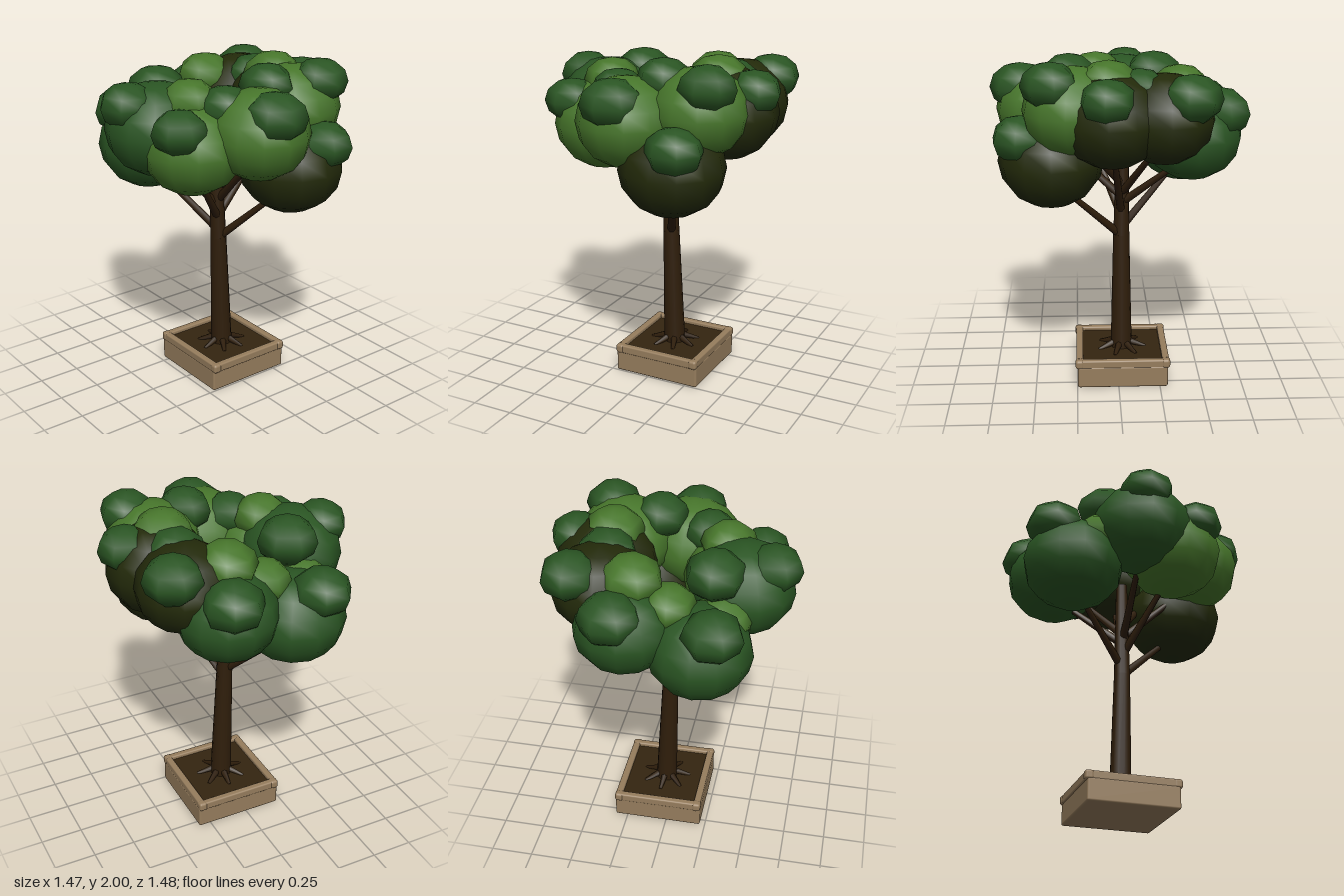
import * as THREE from 'three';
import { RoundedBoxGeometry } from 'three/addons/geometries/RoundedBoxGeometry.js';

const mat = (name, color) => {
  const m = new THREE.MeshStandardMaterial({ color });
  m.name = name;
  return m;
};

export function createModel() {
  const root = new THREE.Group();
  root.name = 'pottedTree';
  const leafDark = mat('deep green leaves', 0x2a5523);
  const leafLight = mat('light green leaves', 0x47762b);
  const leafOlive = mat('dark olive leaves', 0x232a0a);
  const bark = mat('bark', 0x2f1e0b);
  const soilMat = mat('soil', 0x342510);
  const stone = mat('planter stone', 0x967d5d);

  const group = (name) => {
    const g = new THREE.Group();
    g.name = name;
    root.add(g);
    return g;
  };
  const add = (parent, name, geo, material, x = 0, y = 0, z = 0) => {
    const m = new THREE.Mesh(geo, material);
    m.name = name;
    m.position.set(x, y, z);
    parent.add(m);
    return m;
  };
  // Tapered limb between two points
  const limb = (parent, name, a, b, r0, r1, sides) => {
    const from = new THREE.Vector3(...a), dir = new THREE.Vector3(...b).sub(from);
    const m = add(parent, name, new THREE.CylinderGeometry(r1, r0, dir.length(), sides), bark);
    m.position.copy(from).addScaledVector(dir, 0.5);
    m.quaternion.setFromUnitVectors(new THREE.Vector3(0, 1, 0), dir.normalize());
  };

  // Planter: body, rim rails, rounded corners and soil
  const planter = group('planter');
  planter.position.set(0.054, 0, -0.025);
  add(planter, 'planterBody', new RoundedBoxGeometry(0.545, 0.135, 0.545, 2, 0.012), stone, 0, 0.0675, 0);
  for (const s of [-1, 1]) {
    add(planter, 'rimSide', new RoundedBoxGeometry(0.042, 0.052, 0.5, 2, 0.01), stone, s * 0.25, 0.149, 0);
    add(planter, 'rimEnd', new RoundedBoxGeometry(0.5, 0.052, 0.042, 2, 0.01), stone, 0, 0.149, s * 0.26);
    for (const t of [-1, 1])
      add(planter, 'rimCorner', new RoundedBoxGeometry(0.052, 0.056, 0.052, 2, 0.016), stone, s * 0.248, 0.149, t * 0.26);
  }
  add(planter, 'soil', new THREE.BoxGeometry(0.48, 0.03, 0.49), soilMat, 0, 0.137, 0);

  // Trunk and root flares
  const wood = group('wood');
  limb(wood, 'trunk', [0.048, 0.13, -0.025], [0.022, 0.88, -0.025], 0.066, 0.049, 12);
  limb(wood, 'upperTrunk', [0.022, 0.87, -0.025], [0.005, 1.47, -0.035], 0.049, 0.035, 12);
  for (let i = 0; i < 7; i++) {
    const a = i / 7 * Math.PI * 2 + 0.3, c = Math.cos(a), s = Math.sin(a);
    limb(wood, 'root', [0.048 + c * 0.15, 0.148, -0.025 + s * 0.15], [0.048 + c * 0.04, 0.185, -0.025 + s * 0.04], 0.01, 0.022, 6);
  }

  // Main foliage masses: x, y, z, radius, material, height where the branch leaves the trunk
  const masses = [
    [-0.03, 1.65, 0.42, 0.29, leafLight, 1.12],
    [0.235, 1.405, 0.385, 0.305, leafOlive, 0.87],
    [-0.31, 1.56, 0.18, 0.295, leafLight, 1.0],
    [-0.4, 1.64, -0.04, 0.3, leafDark, 1.08],
    [-0.22, 1.43, -0.41, 0.3, leafDark, 0.92],
    [0.2, 1.54, -0.42, 0.29, leafDark, 1.08],
    [0.365, 1.67, -0.25, 0.287, leafOlive, 1.14],
    [0.405, 1.67, 0.04, 0.3, leafOlive, 1.02],
    [0.34, 1.71, 0.26, 0.285, leafLight, 1.2],
  ];
  // Small clumps on top: x, y, z, radius, material
  const clumps = [
    [-0.04, 1.775, 0.565, 0.18, leafDark],
    [0.33, 1.55, 0.55, 0.17, leafDark],
    [-0.47, 1.7, 0.28, 0.16, leafDark],
    [-0.29, 1.805, 0.12, 0.168, leafLight],
    [-0.57, 1.79, -0.07, 0.165, leafDark],
    [-0.27, 1.805, -0.23, 0.175, leafDark],
    [-0.31, 1.62, -0.55, 0.175, leafDark],
    [-0.33, 1.57, -0.28, 0.175, leafLight],
    [0.24, 1.675, -0.57, 0.18, leafDark],
    [-0.04, 1.67, -0.38, 0.16, leafLight],
    [0.17, 1.795, -0.35, 0.18, leafLight],
    [0.5, 1.805, -0.39, 0.17, leafDark],
    [0.36, 1.81, -0.11, 0.175, leafDark],
    [0.58, 1.805, 0.07, 0.16, leafDark],
    [0.36, 1.855, 0.06, 0.178, leafLight],
    [0.44, 1.87, 0.38, 0.165, leafDark],
    [0.13, 1.87, 0.28, 0.16, leafDark],
    [-0.16, 1.785, 0.28, 0.16, leafDark],
  ];
  const crown = group('crown');
  // Flattened faceted ball with one corner pointing away from the trunk
  const leafBall = (name, geo, m, x, y, z, r, flat) => {
    const leaf = add(crown, name, geo, m, x, y, z);
    leaf.scale.set(r, r * flat, r);
    leaf.rotation.y = Math.atan2(z, -x);
  };
  const bigGeo = new THREE.SphereGeometry(1, 12, 8);
  const smallGeo = new THREE.SphereGeometry(1, 7, 6);
  for (const [x, y, z, r, m, start] of masses) {
    leafBall('foliageMass', bigGeo, m, x, y, z, r, 0.89);
    // Branch reaching into the mass
    limb(wood, 'branch', [0.022, start, -0.025], [x, y - 0.12, z], 0.026, 0.014, 7);
  }
  for (const [x, y, z, r, m] of clumps) leafBall('foliageClump', smallGeo, m, x, y, z, r, 0.8);

  return root;
}
